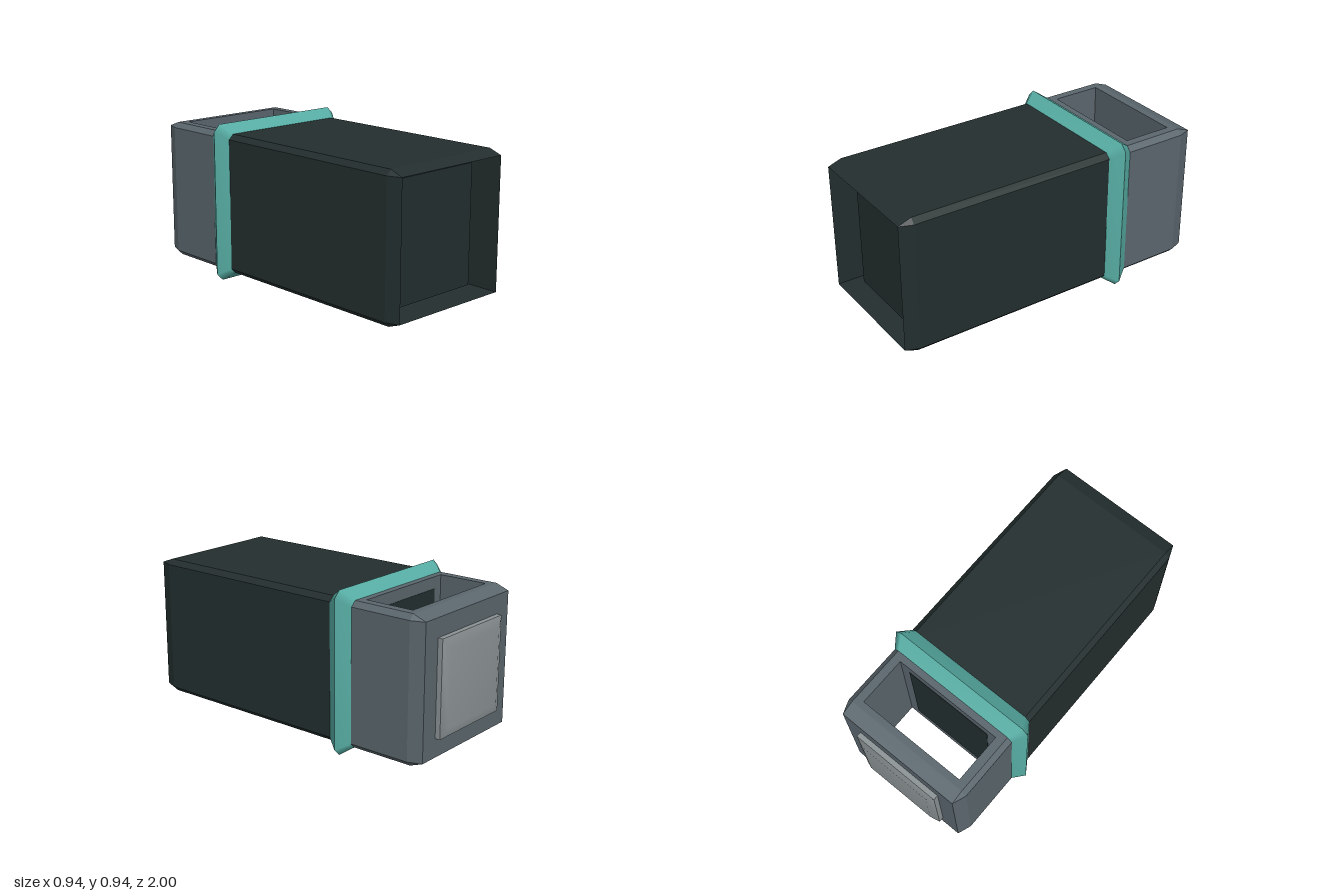
import * as THREE from 'three';
import { mergeVertices, mergeGeometries } from 'three/addons/utils/BufferGeometryUtils.js';

const CY = 0.4725; // height of the long axis

// Cross-section at z: rectangle with chamfered corners, counter-clockwise seen from +z
function section(z, hx, hy, c = 0) {
  return [
    [hx, c - hy], [hx, hy - c], [hx - c, hy], [c - hx, hy],
    [-hx, hy - c], [-hx, c - hy], [c - hx, -hy], [hx - c, -hy],
  ].map(([x, y]) => [x, y + CY, z]);
}

// Skin between successive sections; reversing their order turns it inside out
function loft(sections, { smooth = false, skip = () => false } = {}) {
  const pos = [];
  for (let i = 0; i < sections.length - 1; i++) {
    const n = sections[i].length;
    for (let j = 0; j < n; j++) {
      if (skip(i, j)) continue;
      const k = (j + 1) % n;
      const a = sections[i][j], b = sections[i][k], c = sections[i + 1][k], d = sections[i + 1][j];
      pos.push(...a, ...b, ...c, ...a, ...c, ...d);
    }
  }
  let g = new THREE.BufferGeometry();
  g.setAttribute('position', new THREE.Float32BufferAttribute(pos, 3));
  if (smooth) g = mergeVertices(g, 1e-5);
  g.computeVertexNormals();
  return g;
}

export function createModel() {
  const model = new THREE.Group();
  const material = (name, color) => {
    const m = new THREE.MeshStandardMaterial({ color });
    m.name = name;
    return m;
  };
  const dark = material('dark green black', 0x232e2e);
  const grey = material('slate grey', 0x5a666d);
  const teal = material('teal', 0x56aca3);
  const pale = material('pale grey', 0x8c9395);

  const add = (name, geometry, mat, parent = model) => {
    const mesh = new THREE.Mesh(geometry, mat);
    mesh.name = name;
    parent.add(mesh);
    return mesh;
  };
  const group = (name) => {
    const g = new THREE.Group();
    g.name = name;
    model.add(g);
    return g;
  };

  const HX = 0.42, HY = 0.42, C = 0.03;
  const IX = HX - C, IY = HY - C; // inner opening

  // Long sleeve, open at the front with a knife-edge rim
  const sleeve = group('sleeve');
  add('sleeveOutside', loft([
    section(-0.41, HX, HY, C), section(0.92, HX, HY, C), section(1, IX, IY),
  ]), dark, sleeve);
  add('sleeveInside', loft([section(1, IX, IY), section(-0.41, IX, IY)]), dark, sleeve);

  // Core block running through the sleeve to the window
  const core = add('core', new THREE.BoxGeometry(0.56, 0.7, 0.89 + 0.532), dark);
  core.position.set(0, CY, (0.89 - 0.532) / 2);

  // Collar with a ridged profile, one skin on each side of the ridge
  const collar = group('collar');
  const ridge = section(-0.415, 0.47, CY, 0.04);
  add('collarFront', loft([ridge, section(-0.34, HX, HY, C)], { smooth: true }), teal, collar);
  add('collarBack', loft([section(-0.49, HX, HY, C), ridge], { smooth: true }), teal, collar);

  // Rear housing: chamfered shell whose top and bottom are cut by a window
  const housing = group('rearHousing');
  add('housingShell', loft([
    section(-0.95, IX, IY), section(-0.87, HX, HY, C), section(-0.41, HX, HY, C),
  ], { skip: (i, j) => i === 1 && (j === 2 || j === 6) }), grey, housing);

  const backWall = add('housingBack', new THREE.PlaneGeometry(IX * 2, IY * 2), grey, housing);
  backWall.position.set(0, CY, -0.95);
  backWall.rotation.y = Math.PI;
  const frontWall = add('housingFront', new THREE.PlaneGeometry(IX * 2, IY * 2), grey, housing);
  frontWall.position.set(0, CY, -0.41);

  // Frames around the window, drawn with shape y = -z
  const WX = 0.34, Z0 = -0.83, Z1 = -0.53;
  const rect = (T, x, y0, y1) => new T([[-x, y0], [x, y0], [x, y1], [-x, y1]]
    .map(([px, py]) => new THREE.Vector2(px, py)));
  const frame = rect(THREE.Shape, IX, 0.41, 0.87);
  frame.holes.push(rect(THREE.Path, WX, -Z1, -Z0));
  const top = add('windowFrameTop', new THREE.ShapeGeometry(frame), grey, housing);
  top.rotation.x = -Math.PI / 2;
  top.position.y = CY + HY;
  const under = new THREE.ShapeGeometry(frame).scale(1, -1, 1);
  under.setIndex(Array.from(under.index.array).reverse());
  under.rotateX(Math.PI / 2);
  under.computeVertexNormals();
  add('windowFrameBottom', under, grey, housing).position.y = CY - HY;

  // Inner walls of the window
  const loop = (y) => [[WX, y, Z1], [WX, y, Z0], [-WX, y, Z0], [-WX, y, Z1]];
  add('windowWalls', loft([loop(CY + HY), loop(CY - HY)]), grey, housing);

  // Softly cushioned plate on the back
  const base = section(-0.98, 0.28, 0.28);
  const cushion = loft([section(-1, 0, 0), section(-1, 0.23, 0.225), base], { smooth: true });
  const rim = loft([base, section(-0.95, 0.28, 0.28)]);
  add('backPlate', mergeGeometries([cushion.toNonIndexed(), rim]), pale);

  return model;
}
